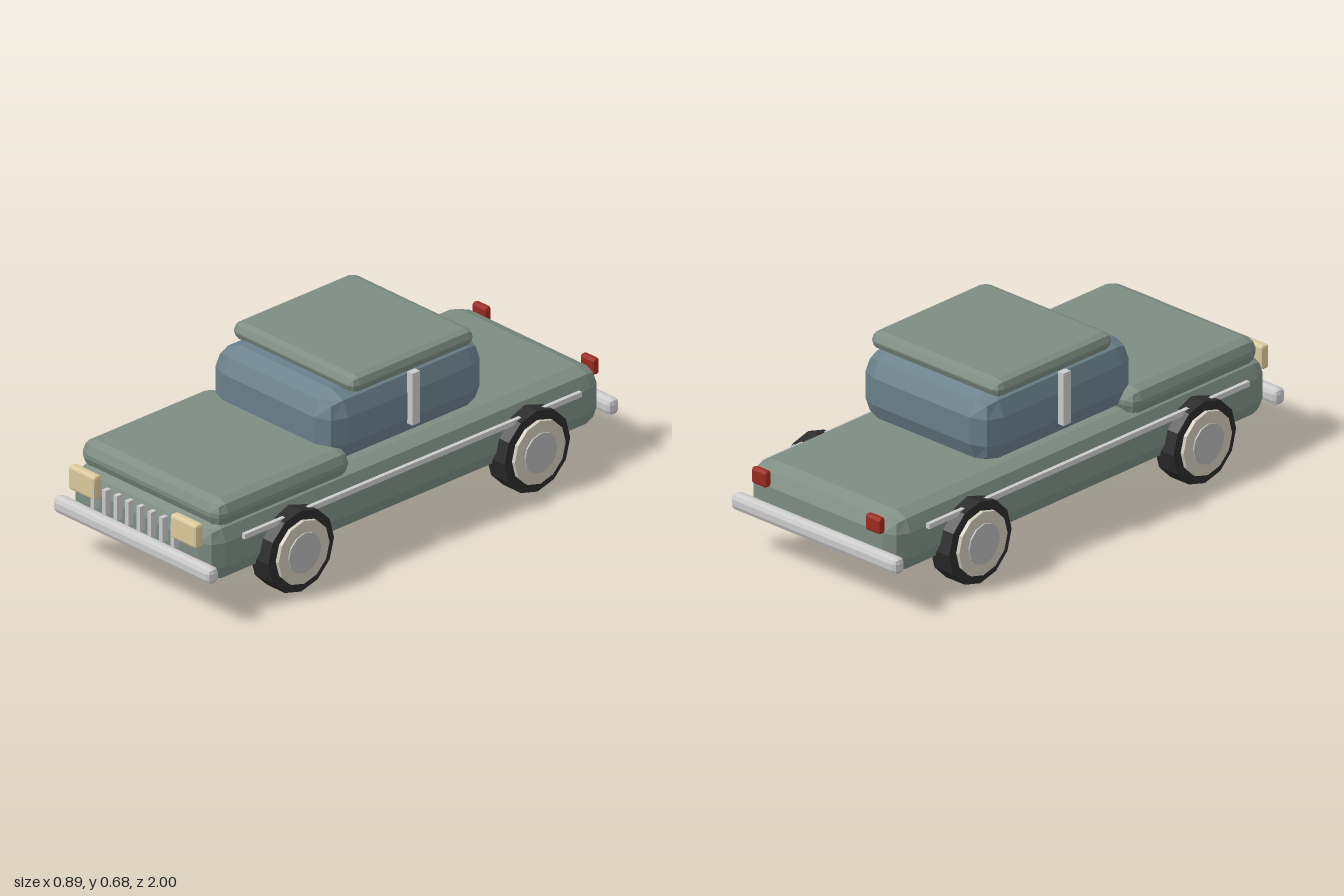
import * as THREE from 'three';
import { RoundedBoxGeometry } from 'three/addons/geometries/RoundedBoxGeometry.js';

const paint = (color) => new THREE.MeshStandardMaterial({ color, flatShading: true });

export function createModel() {
  const car = new THREE.Group();
  car.name = 'car';
  const green = paint(0x7d8d83), glass = paint(0x6a808b), chrome = paint(0xbfc0bc);
  const rubber = paint(0x2b2b2b), cream = paint(0xdccb9c), red = paint(0x9c2a1e);
  const hubGrey = paint(0xcdc8b8), capGrey = paint(0xb4b5b4);

  const add = (name, geometry, material, x, y, z, parent = car) => {
    const mesh = new THREE.Mesh(geometry, material);
    mesh.name = name;
    mesh.position.set(x, y, z);
    parent.add(mesh);
    return mesh;
  };
  // Box given by its limits, with edges cut into two facets when r > 0
  const block = (name, material, [x0, x1], [y0, y1], [z0, z1], r = 0) => {
    const size = [x1 - x0, y1 - y0, z1 - z0];
    const geometry = r ? new RoundedBoxGeometry(...size, 1, r) : new THREE.BoxGeometry(...size);
    return add(name, geometry, material, (x0 + x1) / 2, (y0 + y1) / 2, (z0 + z1) / 2);
  };

  // Bodywork
  block('body', green, [-0.372, 0.372], [0.118, 0.354], [-0.957, 0.957], 0.07);
  block('hood', green, [-0.364, 0.364], [0.33, 0.437], [0.26, 0.914], 0.045);
  block('cabin', glass, [-0.323, 0.323], [0.35, 0.625], [-0.443, 0.33], 0.085);
  block('roof', green, [-0.318, 0.318], [0.61, 0.679], [-0.383, 0.215], 0.032);

  // Bumpers
  block('frontBumper', chrome, [-0.408, 0.408], [0.16, 0.224], [0.948, 1], 0.02);
  block('rearBumper', chrome, [-0.408, 0.408], [0.16, 0.224], [-1, -0.948], 0.02);

  // Grille bars
  for (let i = 0; i < 8; i++) {
    const x = -0.206 + i * 0.0589;
    block('grilleBar', chrome, [x - 0.009, x + 0.009], [0.242, 0.339], [0.965, 0.991]);
  }

  // Parts mirrored on both sides
  const wheel = (side, z) => {
    const group = new THREE.Group();
    group.name = 'wheel';
    group.position.set(0, 0.16, z);
    car.add(group);
    const disc = (name, r, inner, outer, sides, material) => {
      const geometry = new THREE.CylinderGeometry(r, r, outer - inner, sides).rotateZ(Math.PI / 2);
      // put a corner of the polygon at the bottom
      add(name, geometry, material, side * (inner + outer) / 2, 0, 0, group).rotation.x = Math.PI / 2;
    };
    disc('tyre', 0.16, 0.33, 0.422, 12, rubber);
    disc('hub', 0.124, 0.4, 0.437, 12, hubGrey);
    disc('hubCap', 0.078, 0.42, 0.443, 12, capGrey);
  };
  for (const side of [1, -1]) {
    const span = (a, b) => (side > 0 ? [a, b] : [-b, -a]);
    block('headlight', cream, span(0.195, 0.331), [0.277, 0.371], [0.955, 0.992], 0.01);
    block('tailLight', red, span(0.243, 0.316), [0.289, 0.353], [-0.986, -0.957], 0.01);
    block('sideTrim', chrome, span(0.384, 0.4), [0.285, 0.305], [-0.82, 0.82]);
    block('doorPillar', chrome, span(0.322, 0.349), [0.42, 0.625], [-0.08, -0.043]);
    wheel(side, 0.567);
    wheel(side, -0.582);
  }
  return car;
}
